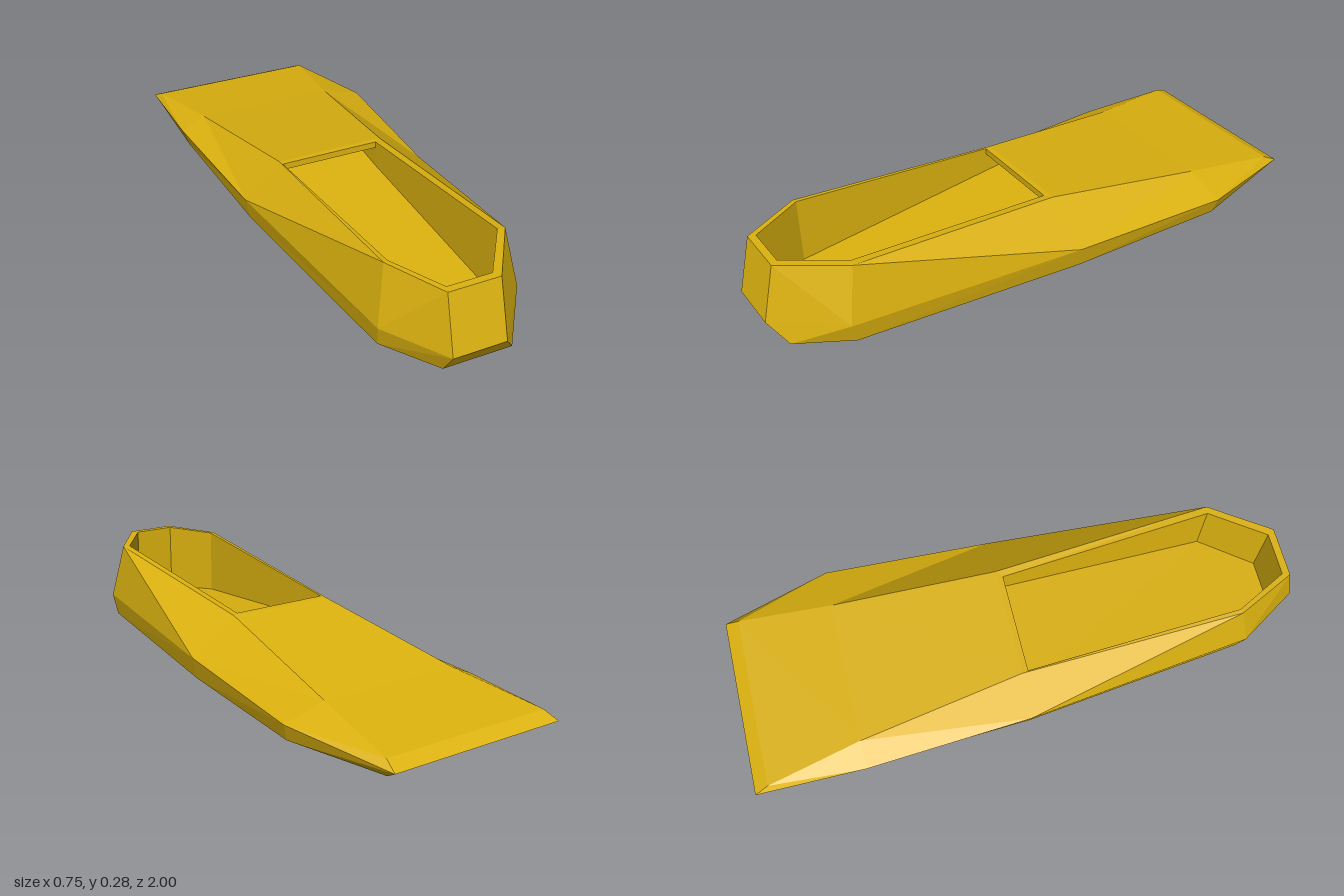
import * as THREE from 'three';

// Outlines run counterclockwise seen from above, starting at the front right corner
const bottom = [[-0.12, 0, 0.95], [0.115, 0, 0.95], [0.22, 0, 0.77], [0.32, 0, -0.02], [0.355, 0, -0.6],
  [0.26, 0, -0.95], [-0.35, 0, -0.95], [-0.355, 0, -0.6], [-0.33, 0, -0.02], [-0.24, 0, 0.77]];
const chine = [[-0.12, 0.075, 1], [0.06, 0.075, 1], [0.23, 0.075, 0.79], [0.335, 0.075, -0.02], [0.372, 0.057, -0.61],
  [0.275, 0.03, -1], [-0.365, 0.03, -1], [-0.375, 0.057, -0.61], [-0.345, 0.075, -0.02], [-0.25, 0.075, 0.79]];
const top = [[-0.12, 0.275, 0.95], [0.055, 0.275, 0.95], [0.195, 0.275, 0.75], [0.17, 0.195, -0.02], [0.225, 0.1, -0.61],
  [0.265, 0.055, -0.95], [-0.35, 0.055, -0.95], [-0.285, 0.1, -0.61], [-0.215, 0.195, -0.02], [-0.215, 0.275, 0.75]];
// Edge of the opening, from back right round the front to back left
const opening = [[-0.21, 0.195, 0], [-0.2, 0.275, 0.745], [-0.11, 0.275, 0.925],
  [0.04, 0.275, 0.925], [0.17, 0.275, 0.745], [0.145, 0.195, 0]];

// Fan of triangles over a polygon
const poly = (...p) => p.slice(2).flatMap((c, i) => [p[0], p[i + 1], c]);

// Band of quads between two closed outlines; listed quads fold along the other diagonal
function band(low, high, flipped = []) {
  return low.flatMap((a, i) => {
    const j = (i + 1) % low.length;
    const b = low[j], c = high[j], d = high[i];
    return flipped.includes(i) ? poly(b, c, d, a) : poly(a, b, c, d);
  });
}

export function createModel() {
  const group = new THREE.Group();
  const yellow = new THREE.MeshStandardMaterial({ color: 0xdcb20f, flatShading: true });
  yellow.name = 'yellow';

  function add(name, points) {
    const geometry = new THREE.BufferGeometry();
    geometry.setAttribute('position', new THREE.Float32BufferAttribute(points.flat(), 3));
    geometry.computeVertexNormals();
    const mesh = new THREE.Mesh(geometry, yellow);
    mesh.name = name;
    group.add(mesh);
  }

  // Outer shell
  add('underside', poly(...[...bottom].reverse()));
  add('lowerSides', band(bottom, chine));
  add('upperSides', band(chine, top, [1, 2, 6, 7]));

  // Sloping rear deck and the rim round the opening
  add('rearDeck', [...poly(top[8], top[3], top[4], top[7]), ...poly(top[7], top[4], top[5], top[6])]);
  add('rim', band([top[8], top[9], top[0], top[1], top[2], top[3]], opening));

  // Hollow inside, with a floor that rises to the rear under the deck
  const floorY = z => 0.02 + (0.93 - z) * 0.086;
  const floor = opening.map(([x, , z]) => [x, floorY(z), z]);
  const [lipR, lipL] = [opening[0], opening[5]].map(([x, y, z]) => [x, y - 0.023, z]);
  const [endR, endL] = [opening[0], opening[5]].map(([x]) => [x, floorY(-0.3), -0.3]);
  add('innerWalls', [
    ...opening.slice(0, 5).flatMap((p, i) => poly(p, opening[i + 1], floor[i + 1], floor[i])),
    lipL, endL, floor[5], endR, lipR, floor[0],
  ]);
  add('innerFloor', [...poly(...floor), ...poly(floor[0], floor[5], endL, endR)]);
  add('deckLip', [...poly(opening[5], opening[0], lipR, lipL), ...poly(endR, endL, lipL, lipR)]);

  return group;
}
